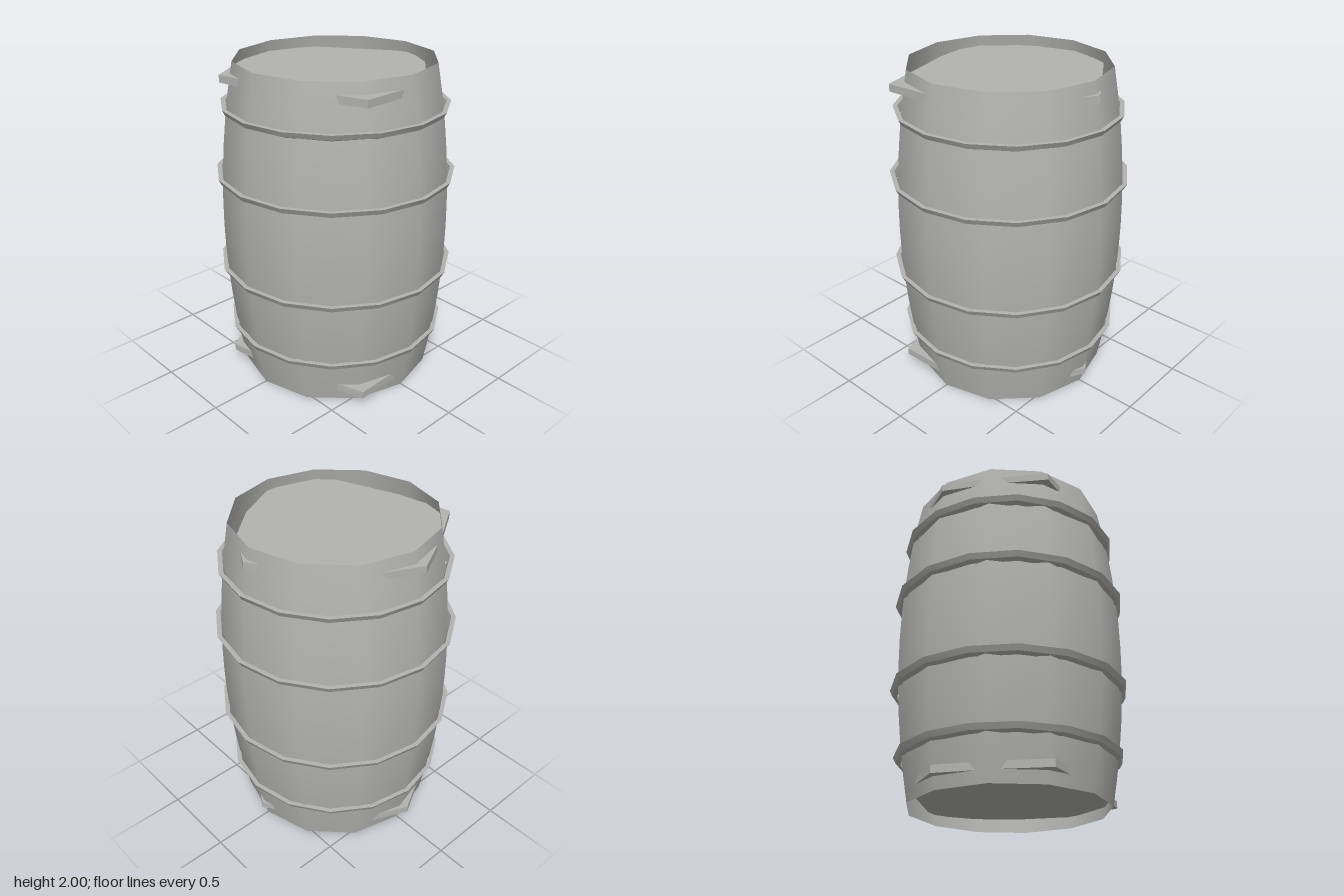
import * as THREE from 'three';
import { toCreasedNormals } from 'three/addons/utils/BufferGeometryUtils.js';

// Open low-poly barrel with four loose hoops and two rough-cut lids.
export function createModel() {
  const group = new THREE.Group();
  group.name = 'barrel';
  const grey = new THREE.MeshStandardMaterial({ color: 0xb3b3b1, side: THREE.DoubleSide });
  grey.name = 'plain grey';

  const add = (name, geometry, y = 0) => {
    const mesh = new THREE.Mesh(geometry, grey);
    mesh.name = name;
    mesh.position.y = y;
    group.add(mesh);
  };

  // Bulging wall, twelve sides, open at both ends
  const wall = [];
  for (let i = 0; i <= 12; i++) {
    const y = i / 6;
    wall.push(new THREE.Vector2(0.705 - 0.098 * (y - 1) ** 2, y));
  }
  add('wall', new THREE.LatheGeometry(wall, 12));

  // Hoops, sixteen sides, outer face leaning out towards the top
  const hoop = (r) => {
    const profile = [
      [-0.045, -0.045], [-0.017, -0.033], [0, 0], [-0.028, 0], [-0.045, -0.045],
    ].map(([dr, y]) => new THREE.Vector2(r + dr, y));
    return toCreasedNormals(new THREE.LatheGeometry(profile, 16), 0.6);
  };
  [[0.305, 0.69], [0.73, 0.735], [1.32, 0.735], [1.74, 0.69]].forEach(([y, r]) => {
    add('hoop', hoop(r), y);
  });

  // Irregular lid slabs whose corners poke through the wall (x, z outline)
  const outline = [
    [0, -0.65], [0.26, -0.5], [0.45, -0.29], [0.6, -0.02], [0.615, 0.35], [0.03, 0.54],
    [-0.33, 0.6], [-0.52, 0.31], [-0.67, 0.03], [-0.52, -0.3],
  ].map(([x, z]) => new THREE.Vector2(x, z));
  const lid = new THREE.ExtrudeGeometry(new THREE.Shape(outline), { depth: 0.045, bevelEnabled: false });
  lid.rotateX(Math.PI / 2);
  add('topLid', lid, 1.93);
  add('bottomLid', lid, 0.118);

  return group;
}
